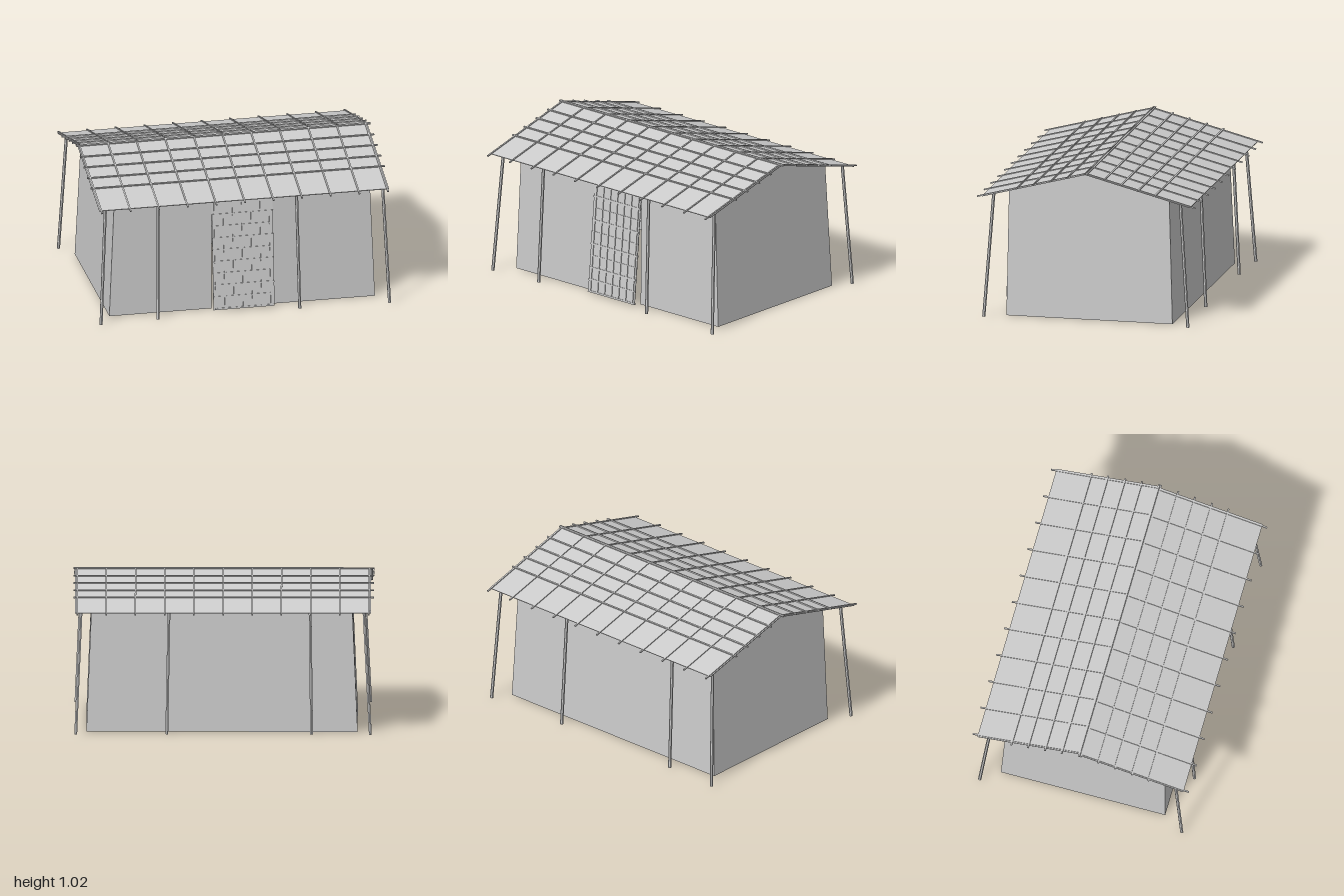
import * as THREE from 'three';

const grey = new THREE.MeshStandardMaterial({ color: 0xcccccc, flatShading: true });
const thin = new THREE.MeshStandardMaterial({ color: 0xcccccc, flatShading: true, side: THREE.DoubleSide });

function add(parent, name, geometry, x = 0, y = 0, z = 0, material = grey) {
  const mesh = new THREE.Mesh(geometry, material);
  mesh.name = name;
  mesh.position.set(x, y, z);
  parent.add(mesh);
  return mesh;
}

// Flat wall from its corners, listed counter-clockwise as seen from outside
function wall(parent, name, corners) {
  const geometry = new THREE.BufferGeometry();
  geometry.setAttribute('position', new THREE.Float32BufferAttribute(corners.flat(), 3));
  const index = [];
  for (let i = 1; i < corners.length - 1; i++) index.push(0, i, i + 1);
  geometry.setIndex(index);
  geometry.computeVertexNormals();
  add(parent, name, geometry, 0, 0, 0, thin);
}

// Leaning post between two points
function post(parent, name, bottom, top) {
  const a = new THREE.Vector3(...bottom), b = new THREE.Vector3(...top);
  const dir = b.clone().sub(a);
  const mesh = add(parent, name, new THREE.CylinderGeometry(0.011, 0.011, dir.length(), 6));
  mesh.position.copy(a).add(b).multiplyScalar(0.5);
  mesh.quaternion.setFromUnitVectors(new THREE.Vector3(0, 1, 0), dir.normalize());
}

// Hollow tapered walls with a full-height doorway in the front
function buildWalls() {
  const g = new THREE.Group();
  g.name = 'walls';
  const h = 0.862, ridge = 1.0;
  const L0 = -0.89, L1 = -0.853, R0 = 0.915, R1 = 0.88;
  const F0 = 0.56, F1 = 0.55, B0 = -0.575, B1 = -0.545;
  const d0 = -0.195, d1 = 0.222;
  wall(g, 'frontWallRight', [[L0, 0, F0], [d0, 0, F0], [d0, h, F1], [L1, h, F1]]);
  wall(g, 'frontWallLeft', [[d1, 0, F0], [R0, 0, F0], [R1, h, F1], [d1, h, F1]]);
  wall(g, 'backWall', [[R0, 0, B0], [L0, 0, B0], [L1, h, B1], [R1, h, B1]]);
  wall(g, 'leftGable', [[R0, 0, F0], [R0, 0, B0], [R1, h, B1], [R1 - 0.005, ridge, 0], [R1, h, F1]]);
  wall(g, 'rightGable', [[L0, 0, B0], [L0, 0, F0], [L1, h, F1], [L1 + 0.005, ridge, 0], [L1, h, B1]]);
  return g;
}

// One roof slope: thin sheet with a lattice of poles on top
function buildSlope() {
  const g = new THREE.Group();
  g.name = 'roofSlope';
  const a = Math.atan(0.262), c = Math.cos(a);
  const length = 0.713 / c, poleLength = 0.747 / c;
  add(g, 'roofSheet', new THREE.BoxGeometry(1.97, 0.005, length), -0.005, -0.0025, length / 2);
  const rafter = new THREE.BoxGeometry(0.01, 0.009, poleLength);
  for (let i = 0; i < 11; i++) add(g, 'rafter', rafter, -0.977 + i * 0.1943, 0.0015, poleLength / 2);
  const batten = new THREE.BoxGeometry(2, 0.009, 0.01);
  for (const z of [0.005, 0.125, 0.24, 0.358, 0.472]) add(g, 'batten', batten, 0, 0.003, z / c);
  g.rotation.x = a;
  g.position.y = 1.01;
  return g;
}

// Lattice door leaning out at its foot
function buildDoor() {
  const g = new THREE.Group();
  g.name = 'door';
  const w = 0.415, h = 0.83, rows = 10, cols = 6;
  add(g, 'doorPanel', new THREE.BoxGeometry(w, h, 0.004), 0, h / 2, 0);
  const upright = new THREE.BoxGeometry(0.012, h, 0.014);
  for (let i = 0; i <= cols; i++) add(g, 'doorUpright', upright, -w / 2 + 0.02 + i * (w - 0.04) / cols, h / 2, 0);
  const rail = new THREE.BoxGeometry(w, 0.012, 0.012);
  for (let i = 0; i <= rows; i++) add(g, 'doorRail', rail, 0, 0.006 + i * (h - 0.012) / rows, 0);
  g.position.set(0.0135, 0.01, 0.618);
  g.rotation.x = -Math.atan(0.09);
  return g;
}

export function createModel() {
  const model = new THREE.Group();
  model.name = 'hut';
  model.add(buildWalls(), buildDoor());

  const roof = new THREE.Group();
  roof.name = 'roof';
  const back = new THREE.Group();
  back.name = 'backSlope';
  back.rotation.y = Math.PI;
  back.add(buildSlope());
  roof.add(buildSlope(), back);
  model.add(roof);

  // Four posts along each eave: foot x, head x, foot z
  for (const s of [1, -1]) {
    for (const [x0, x1, z0] of [[-0.975, -0.932, 0.698], [-0.584, -0.574, 0.677], [0.38, 0.365, 0.677], [0.986, 0.95, 0.698]]) {
      post(model, s > 0 ? 'frontPost' : 'backPost', [x0, 0, s * z0], [x1, 0.838, s * 0.638]);
    }
  }
  return model;
}
